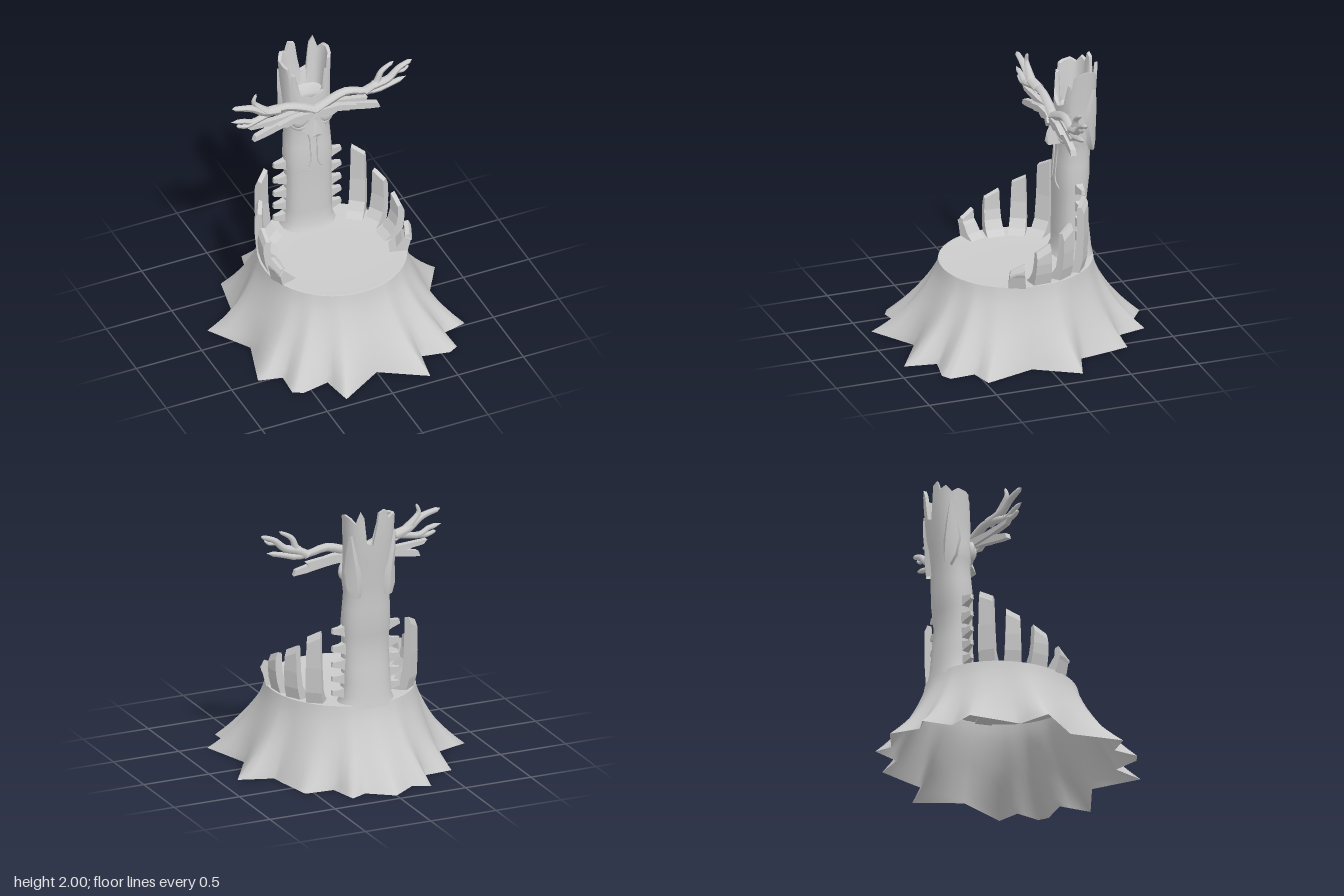
import * as THREE from 'three';
import { toCreasedNormals } from 'three/addons/utils/BufferGeometryUtils.js';
import { ConvexGeometry } from 'three/addons/geometries/ConvexGeometry.js';

const grey = new THREE.MeshStandardMaterial({ color: 0xcccccc, side: THREE.DoubleSide });
const lerp = THREE.MathUtils.lerp;

function add(parent, name, geometry) {
  const mesh = new THREE.Mesh(geometry, grey);
  mesh.name = name;
  parent.add(mesh);
  return mesh;
}

// Skin over rows of points
function skin(rows, closed, crease) {
  const n = rows[0].length, index = [];
  for (let j = 0; j < rows.length - 1; j++) {
    for (let i = 0; i < (closed ? n : n - 1); i++) {
      const k = (i + 1) % n, a = j * n + i, b = j * n + k, c = a + n, d = b + n;
      index.push(a, b, d, a, d, c);
    }
  }
  const g = new THREE.BufferGeometry();
  g.setAttribute('position', new THREE.Float32BufferAttribute(rows.flat(2), 3));
  g.setIndex(index);
  g.computeVertexNormals();
  return crease ? toCreasedNormals(g, crease) : g;
}

// Linear lookup in a table whose first column is the key
function lookup(table, key) {
  let i = 0;
  while (i < table.length - 2 && key > table[i + 1][0]) i++;
  const a = table[i], b = table[i + 1];
  const t = THREE.MathUtils.clamp((key - a[0]) / (b[0] - a[0]), 0, 1);
  return a.map((v, k) => lerp(v, b[k], t));
}

// Flat plank cut from an outline in x, y
function plank(points, depth) {
  const shape = new THREE.Shape(points.map(p => new THREE.Vector2(...p)));
  const g = new THREE.ExtrudeGeometry(shape, { depth, bevelEnabled: false });
  return g.translate(0, 0, -depth / 2);
}

// Branch: tube narrowing to a tip
function branch(points, r0, r1, segments = 14, sides = 7) {
  const curve = new THREE.CatmullRomCurve3(points.map(p => new THREE.Vector3(...p)));
  const g = new THREE.TubeGeometry(curve, segments, 1, sides);
  const pos = g.attributes.position, v = new THREE.Vector3();
  for (let i = 0; i < pos.count; i++) {
    const ring = Math.floor(i / (sides + 1)), c = curve.getPointAt(ring / segments);
    const r = ring === segments ? 0.001 : lerp(r0, r1, ring / segments);
    v.fromBufferAttribute(pos, i).sub(c).multiplyScalar(r).add(c);
    pos.setXYZ(i, v.x, v.y, v.z);
  }
  g.computeVertexNormals();
  return g;
}

// Root points of the stump on the ground, front to back on one side
const roots = [[0, 0.735], [0.32, 0.93], [0.36, 0.70], [0.56, 0.74], [0.63, 0.70], [0.62, 0.52], [0.79, 0.48],
  [0.68, 0.115], [0.87, -0.19], [0.63, -0.27], [0.61, -0.39], [0.56, -0.64], [0.35, -0.655], [0.30, -0.865],
  [0.18, -0.81], [0, -0.94]];

function buildStump(model) {
  const ring = [...roots, ...roots.slice(1, -1).reverse().map(([x, z]) => [-x, z])];
  const base = ring.flatMap((p, i) => {
    const q = ring[(i + 1) % ring.length];
    return [0, 1 / 3, 2 / 3].map(t => [lerp(p[0], q[0], t), lerp(p[1], q[1], t)]);
  });
  const top = base.map(([x, z]) => {
    const s = 0.52 / Math.hypot(x, z);
    return [x * s, z * s * (z < 0 ? 1.08 : 1)];
  });
  // The folds soften as they climb
  const n = base.length;
  const soft = base.map((p, i) => [0, 1].map(k => {
    let sum = 0;
    for (let d = -2; d <= 2; d++) sum += base[(i + d + n) % n][k];
    return sum / 5;
  }));
  const rows = [];
  for (let j = 0; j <= 10; j++) {
    const t = j / 10, w = Math.pow(1 - t, 1.42), fold = Math.min(0.75, t * 1.8);
    rows.push(base.map(([x, z], i) => [
      lerp(top[i][0], lerp(x, soft[i][0], fold), w),
      0.005 + 0.55 * t,
      lerp(top[i][1], lerp(z, soft[i][1], fold), w)]));
  }
  add(model, 'stumpSkirt', skin(rows, true));
  const seat = [[1, 0.555], [0.96, 0.557], [0.85, 0.55], [0.5, 0.547], [0.001, 0.547]];
  add(model, 'stumpTop', skin(seat.map(([s, y]) => top.map(([x, z]) => [x * s, y, z * s])), true));
}

// Trunk sections: y, half width, half depth, centre z
const sections = [[0.53, 0.21, 0.15, -0.422], [0.6, 0.18, 0.13, -0.43], [0.95, 0.17, 0.107, -0.415],
  [1.15, 0.178, 0.12, -0.425], [1.36, 0.166, 0.113, -0.438], [1.46, 0.18, 0.12, -0.44],
  [1.6, 0.17, 0.125, -0.45], [1.8, 0.178, 0.127, -0.465], [2, 0.192, 0.122, -0.477]];
// Broken rim: degrees from the front towards +x, height
const rim = [[0, 1.66], [25, 1.7], [38, 1.86], [46, 1.84], [50, 1.76], [56, 1.92], [90, 1.96], [115, 1.95],
  [135, 1.91], [150, 2], [160, 1.95], [166, 1.76], [178, 1.74], [184, 1.98], [196, 2], [205, 1.93],
  [225, 1.95], [245, 1.9], [265, 1.93], [300, 1.91], [308, 1.76], [314, 1.87], [322, 1.86], [335, 1.7], [360, 1.66]];

// Point on the trunk, pushed out by a distance; squarer towards the top
function onTrunk(deg, y, out = 0) {
  const [, rx, rz, cz] = lookup(sections, y), a = THREE.MathUtils.degToRad(deg);
  const power = y > 1.6 ? 0.74 : 0.86;
  const bend = v => Math.sign(v) * Math.pow(Math.abs(v), power);
  return [(rx + out) * bend(Math.sin(a)), y, cz + (rz + out) * bend(Math.cos(a))];
}

function buildTrunk(model) {
  const degs = rim.slice(0, -1).flatMap((k, i) => [k[0], (k[0] + rim[i + 1][0]) / 2]);
  const heights = degs.map(d => lookup(rim, d)[1]);
  const rows = [0.53, 0.56, 0.6, 0.7, 0.82, 0.95, 1.05, 1.15, 1.25, 1.36, 1.41, 1.46, 1.53]
    .map(y => degs.map(d => onTrunk(d, y)));
  for (let j = 1; j <= 5; j++) rows.push(degs.map((d, i) => onTrunk(d, lerp(1.53, heights[i], j / 5))));
  // Hollow inside with a floor
  for (let j = 5; j >= 0; j--) rows.push(degs.map((d, i) => onTrunk(d, lerp(1.64, heights[i] - 0.005, j / 5), lerp(-0.045, -0.022, j / 5))));
  rows.push(degs.map(() => [0, 1.61, -0.46]));
  add(model, 'hollowTrunk', skin(rows, true, 0.8));

  // Loose bark flaps on the back corners
  for (const side of [-1, 1]) {
    const flap = [[1.35, 128, 152, 0.03], [1.42, 108, 156, 0.032], [1.55, 92, 153, 0.025],
      [1.68, 96, 140, 0.02], [1.82, 112, 124, 0.012]].map(([y, a, b, out]) =>
      [0, 0.2, 0.5, 0.8, 1].map(t => onTrunk(side * lerp(a, b, t), y, t === 0 || t === 1 ? -0.004 : out)));
    add(model, 'barkFlap', skin(flap, false, 0.6));
  }
}

// Curved stave around the stump edge: centre x, z, height, width
const staves = [[0.365, -0.37, 1.1, 0.12], [0.455, -0.215, 0.96, 0.12], [0.5, -0.03, 0.86, 0.13], [0.495, 0.155, 0.74, 0.12]];

function staveGeometry(h, width) {
  const m = lerp(0.6, h, 0.45);
  const g = plank([[-0.13, 0.545], [0.0, 0.545], [0.025, 0.64], [0.035, m], [0.035, h - 0.05], [0.015, h],
    [-0.015, h - 0.01], [-0.018, m], [-0.035, 0.645], [-0.075, 0.585]], width);
  const pos = g.attributes.position;
  for (let i = 0; i < pos.count; i++) {
    const y = pos.getY(i), z = pos.getZ(i);
    if (y > h - 0.06 && z > 0) pos.setY(i, y - 0.05);
    pos.setZ(i, z * lerp(1, 0.8, (y - 0.545) / (h - 0.545)));
  }
  g.computeVertexNormals();
  return g;
}

// Thorn pointing along +x, thinning to its tip
function thornGeometry() {
  const g = plank([[0.13, -0.05], [0.13, 0.06], [0.2, 0.035], [0.255, 0.03], [0.26, -0.005], [0.2, -0.02]], 0.07);
  const pos = g.attributes.position;
  for (let i = 0; i < pos.count; i++) pos.setZ(i, pos.getZ(i) * lerp(1, 0.35, (pos.getX(i) - 0.13) / 0.13));
  g.computeVertexNormals();
  return g;
}

function buildSides(model) {
  for (const side of [-1, 1]) {
    const half = new THREE.Group();
    half.name = side > 0 ? 'leftSide' : 'rightSide';
    half.scale.x = side;
    model.add(half);

    for (const [x, z, h, w] of staves) {
      const stave = add(half, 'stave', staveGeometry(h, w));
      stave.position.set(x, 0, z);
      stave.rotation.y = Math.atan2(-z, x) * 1.15;
    }
    for (const y of [0.62, 0.725, 0.83, 0.945, 1.075]) {
      add(half, 'trunkThorn', thornGeometry()).position.set(0, y, -0.425);
    }
    // Eye and its socket
    const eye = add(half, 'eye', new THREE.SphereGeometry(0.06, 20, 14));
    eye.position.set(0.097, 1.495, -0.335);
    eye.scale.z = 0.6;
    const socket = add(half, 'eyeSocket', new THREE.TorusGeometry(0.066, 0.022, 10, 24));
    socket.position.set(0.095, 1.495, -0.34);
    socket.rotation.y = 0.35;

    // Brow planks in overlapping layers
    const upper = side > 0 ? [[0.02, 1.61], [0.2, 1.61], [0.4, 1.58], [0.38, 1.55], [0.12, 1.55]]
      : [[0.02, 1.61], [0.25, 1.6], [0.53, 1.608], [0.5, 1.578], [0.34, 1.56], [0.12, 1.55]];
    const lower = [[0, 1.565], [0.06, 1.6], [0.25, 1.58], [0.38, 1.55], [0.47, 1.525], [0.485, 1.485], [0.39, 1.497], [0.32, 1.512], [0.2, 1.535], [0.05, 1.55]];
    const inner = [[0, 1.56], [0.05, 1.595], [0.17, 1.6], [0.3, 1.57], [0.24, 1.535], [0.16, 1.555], [0.12, 1.53], [0.05, 1.545]];
    [upper, lower, inner].forEach((points, i) => {
      const brow = add(half, 'brow', plank(points, 0.04));
      brow.position.z = -0.325 + i * 0.022;
      brow.rotation.y = -0.07;
    });
    // Whisker down the trunk
    add(half, 'whisker', branch([[0.05, 1.39, -0.315], [0.03, 1.33, -0.32], [0.026, 1.24, -0.314], [0.028, 1.13, -0.304],
      [0.045, 1.095, -0.304], [0.083, 1.06, -0.315]], 0.006, 0.004, 24, 5));
  }
}

// Antlers differ on the two sides: points, start and end radius
const antlers = {
  leftAntler: [
    [[[0.0, 1.58, -0.3], [0.1, 1.625, -0.3], [0.24, 1.668, -0.3], [0.36, 1.64, -0.29], [0.46, 1.625, -0.28], [0.56, 1.65, -0.27], [0.685, 1.68, -0.27]], 0.038, 0.017],
    [[[0.38, 1.63, -0.29], [0.46, 1.685, -0.28], [0.5, 1.77, -0.28], [0.595, 1.83, -0.28]], 0.034, 0.012],
    [[[0.44, 1.67, -0.28], [0.55, 1.7, -0.27], [0.63, 1.77, -0.27], [0.73, 1.81, -0.27]], 0.034, 0.016],
    [[[0.6, 1.75, -0.27], [0.66, 1.745, -0.26], [0.7, 1.775, -0.26]], 0.018, 0.008]],
  rightAntler: [
    [[[0.0, 1.58, -0.3], [-0.1, 1.635, -0.3], [-0.25, 1.68, -0.3], [-0.38, 1.66, -0.29], [-0.48, 1.64, -0.28], [-0.55, 1.675, -0.27], [-0.65, 1.695, -0.27]], 0.038, 0.016],
    [[[-0.28, 1.672, -0.3], [-0.4, 1.705, -0.28], [-0.5, 1.77, -0.27], [-0.645, 1.81, -0.27]], 0.04, 0.017],
    [[[-0.38, 1.7, -0.28], [-0.43, 1.75, -0.28], [-0.475, 1.81, -0.28], [-0.455, 1.875, -0.28]], 0.034, 0.009],
    [[[-0.46, 1.645, -0.28], [-0.54, 1.63, -0.27], [-0.61, 1.65, -0.27]], 0.026, 0.012]],
};

function buildFace(model) {
  // Forked beak and the cheeks beside it
  const beak = [[0, 1.55, -0.285], [0, 1.47, -0.25], [0, 1.41, -0.24]];
  for (const s of [-1, 1]) beak.push([s * 0.09, 1.41, -0.32], [s * 0.04, 1.385, -0.25], [s * 0.025, 1.5, -0.29]);
  add(model, 'beak', new ConvexGeometry(beak.map(p => new THREE.Vector3(...p))));
  add(model, 'browKnot', plank([[0, 1.58], [-0.03, 1.55], [0, 1.515], [0.03, 1.55]], 0.04)).position.z = -0.265;
  for (const [name, branches] of Object.entries(antlers)) {
    const antler = new THREE.Group();
    antler.name = name;
    for (const [points, r0, r1] of branches) add(antler, 'antlerBranch', branch(points, r0, r1));
    model.add(antler);
  }
}

export function createModel() {
  const model = new THREE.Group();
  model.name = 'treeStumpCreature';
  buildStump(model);
  buildTrunk(model);
  buildSides(model);
  buildFace(model);
  return model;
}
